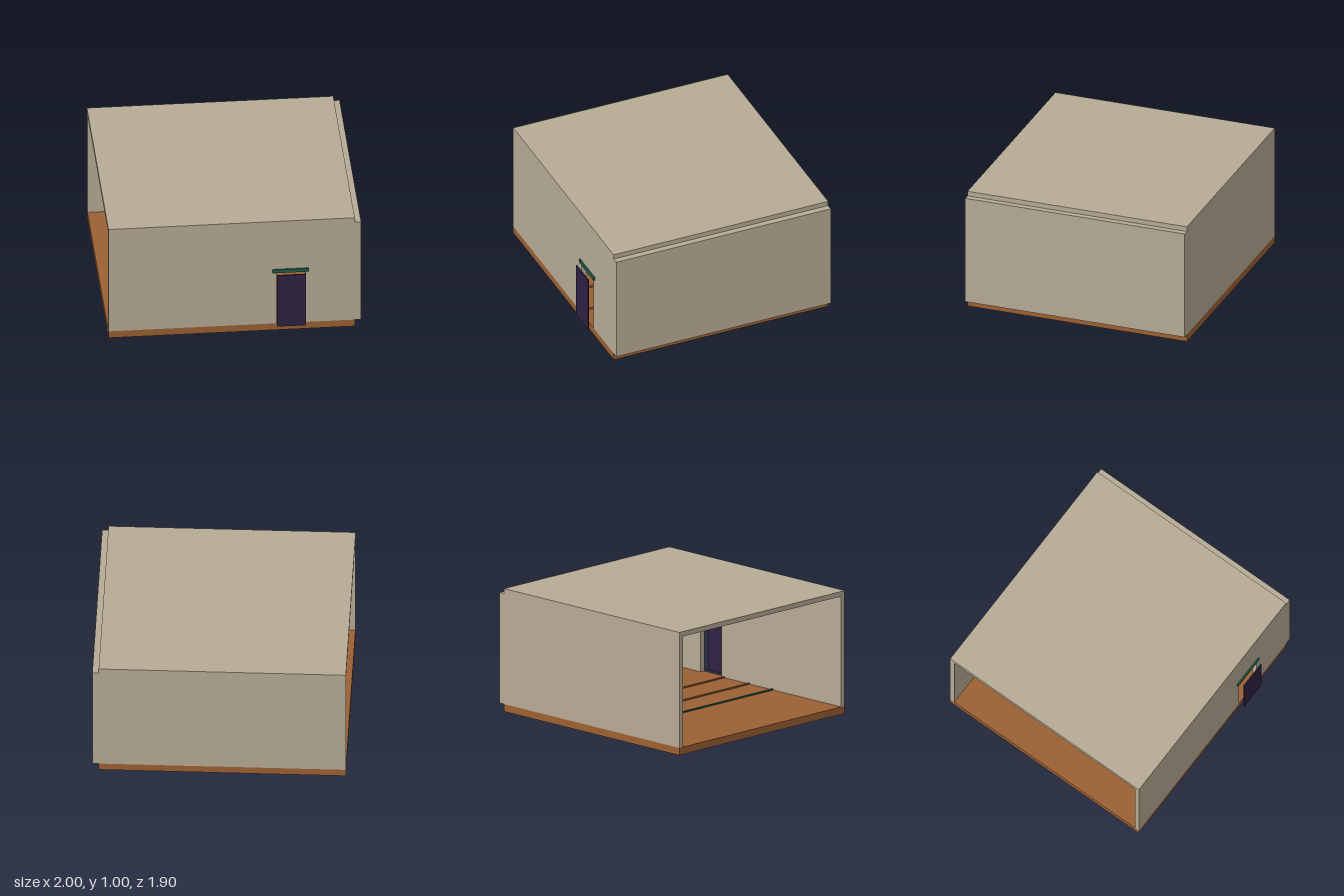
import * as THREE from 'three';

const material = (name, color) => {
  const m = new THREE.MeshStandardMaterial({ color });
  m.name = name;
  return m;
};

export function createModel() {
  const room = new THREE.Group();
  room.name = 'room';
  const plaster = material('plaster', 0xb7ab95);
  const wood = material('wood', 0x9c6034);
  const purple = material('darkPurple', 0x2e2243);
  const green = material('darkGreen', 0x1f5f4e);

  // Box given by its two extents on each axis
  function block(name, mat, [x0, x1], [y0, y1], [z0, z1]) {
    const mesh = new THREE.Mesh(new THREE.BoxGeometry(x1 - x0, y1 - y0, z1 - z0), mat);
    mesh.position.set((x0 + x1) / 2, (y0 + y1) / 2, (z0 + z1) / 2);
    mesh.name = name;
    room.add(mesh);
  }

  const back = -0.95, front = 0.9, t = 0.04;
  const floorTop = 0.06, roofBase = 0.96;

  // Shell, open at the right-hand end
  block('floor', wood, [-1, 0.95], [0, floorTop], [back, front]);
  block('roof', plaster, [-1, 0.95], [roofBase, 1], [back, front]);
  block('leftWall', plaster, [0.95, 1], [floorTop, roofBase], [back, front]);
  block('backWall', plaster, [-1, 0.95], [floorTop, roofBase], [back, back + t]);

  // Front wall with a doorway cut from its lower edge
  const outline = [[-1, floorTop], [0.33, floorTop], [0.33, 0.53], [0.56, 0.53],
    [0.56, floorTop], [0.95, floorTop], [0.95, roofBase], [-1, roofBase]];
  const shape = new THREE.Shape(outline.map(([x, y]) => new THREE.Vector2(x, y)));
  const frontWall = new THREE.Mesh(
    new THREE.ExtrudeGeometry(shape, { depth: t, bevelEnabled: false }), plaster);
  frontWall.position.z = front - t;
  frontWall.name = 'frontWall';
  room.add(frontWall);

  // Door panel standing just in front of its opening, and the lintel
  block('door', purple, [0.33, 0.56], [floorTop, 0.53], [0.94, 0.95]);
  block('lintel', green, [0.3, 0.585], [0.53, 0.56], [front, 0.912]);

  // Low strips across the floor
  const inside = [back + t, front - t];
  block('floorStripe', green, [-0.25, -0.23], [floorTop, floorTop + 0.009], inside);
  for (const x of [0.02, 0.3]) {
    block('floorBatten', wood, [x - 0.01, x + 0.01], [floorTop, floorTop + 0.009], inside);
  }
  return room;
}
